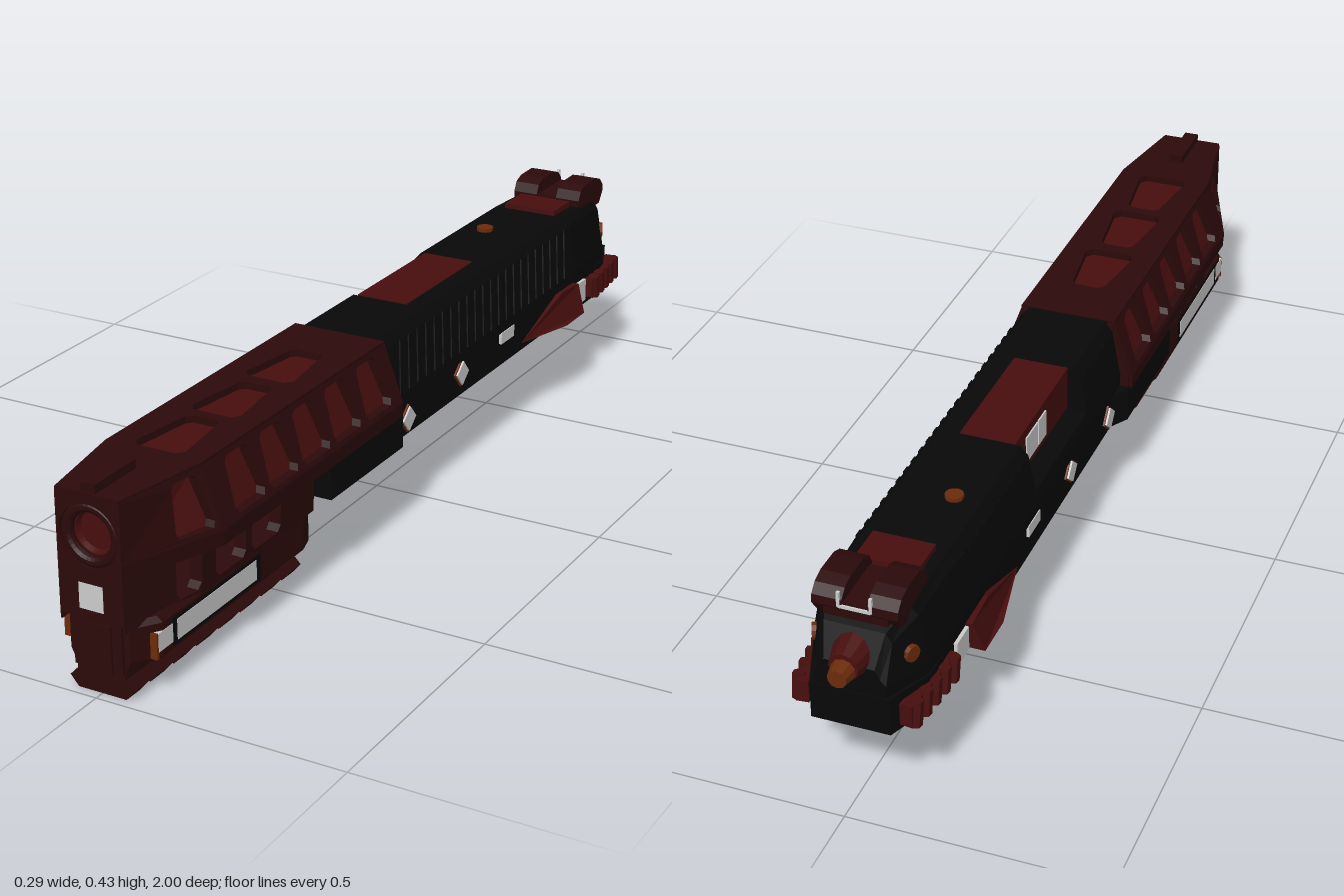
import * as THREE from 'three';

const RED = 0x2b0909, BRIGHT = 0x470e0e, BLACK = 0x080808, ORANGE = 0x6b2b0a, LIGHT = 0xcccccc;
const lerp = THREE.MathUtils.lerp;

export function createModel() {
  const root = new THREE.Group();
  root.name = 'pistolSlide';
  const mats = {};
  const mat = (c) => (mats[c] ??= new THREE.MeshStandardMaterial({ color: c, flatShading: true, side: THREE.DoubleSide }));

  function add(name, geo, color, pos = [0, 0, 0], rot = [0, 0, 0], parent = root) {
    const m = new THREE.Mesh(geo, mat(color));
    m.name = name;
    m.position.set(...pos);
    m.rotation.set(...rot);
    parent.add(m);
    return m;
  }
  const box = (name, size, pos, color, parent, rot) =>
    add(name, new THREE.BoxGeometry(...size), color, pos, rot, parent);

  // Loft of sections [z, half, otherHalf = half], front to back; halves are [x, y] from bottom to top
  function loft(name, color, sections) {
    const rings = sections.map(([z, half, other = half]) => [
      ...half.map(([x, y]) => [x, y, z]),
      ...other.slice().reverse().map(([x, y]) => [-x, y, z]),
    ]);
    const pos = [], n = rings[0].length;
    for (let r = 0; r < rings.length - 1; r++) {
      const a = rings[r], b = rings[r + 1];
      for (let i = 0; i < n; i++) {
        const j = (i + 1) % n;
        pos.push(...a[i], ...b[i], ...b[j], ...a[i], ...b[j], ...a[j]);
      }
    }
    for (const [ring, flip] of [[rings[0], false], [rings.at(-1), true]]) {
      const tris = THREE.ShapeUtils.triangulateShape(ring.map((p) => new THREE.Vector2(p[0], p[1])), []);
      for (const [p, q, s] of tris) pos.push(...ring[p], ...ring[flip ? s : q], ...ring[flip ? q : s]);
    }
    const g = new THREE.BufferGeometry();
    g.setAttribute('position', new THREE.Float32BufferAttribute(pos, 3));
    g.computeVertexNormals();
    return add(name, g, color);
  }

  // Extruded plate whose vertices are moved by a rule
  function plate(outline, holes, depth, rule) {
    const vec = (l) => l.map(([a, b]) => new THREE.Vector2(a, b));
    const s = new THREE.Shape(vec(outline));
    s.holes = holes.map((h) => new THREE.Path(vec(h)));
    const g = new THREE.ExtrudeGeometry(s, { depth, bevelEnabled: false });
    const p = g.attributes.position;
    for (let i = 0; i < p.count; i++) p.setXYZ(i, ...rule(p.getX(i), p.getY(i), p.getZ(i)));
    g.computeVertexNormals();
    return g;
  }

  // Side wall between heights lo and hi ([x, y]); outline in [z, 0..1]; narrows and thins toward the muzzle
  function wall(name, color, outline, holes, lo, hi, depth, parent) {
    const uv = (l) => l.map(([z, v]) => [-z, v]);
    const g = plate(uv(outline), holes.map(uv), depth, (u, v, w) => {
      const x = lerp(lo[0], hi[0], v), z = -u, t = Math.max(0, (z - 0.8) / 0.2);
      return [lerp(x, 0.066, t) + (w - depth) * lerp(1, 0.003 / depth, t), lerp(lo[1], hi[1], v), z];
    });
    return add(name, g, color, undefined, undefined, parent);
  }
  const span = (a, b) => [[a, 0], [b, 0], [b, 1], [a, 1]];
  const trapezoid = (z, w) => [[z - w, 0.18], [z - w * 0.85, 0.08], [z + w * 0.85, 0.08], [z + w, 0.18],
    [z + w * 0.75, 0.85], [z + w * 0.55, 0.92], [z - w * 0.55, 0.92], [z - w * 0.75, 0.85]];
  const slot = (a, b) => [[a, 0.2], [a + 0.01, 0.09], [b - 0.01, 0.09], [b, 0.2],
    [b, 0.82], [b - 0.01, 0.93], [a + 0.01, 0.93], [a, 0.82]];

  // Copy of a group's meshes on the other side, with the winding turned round
  function mirrored(group, name) {
    const out = new THREE.Group();
    out.name = name;
    const flip = new THREE.Matrix4().makeScale(-1, 1, 1);
    group.updateMatrixWorld(true);
    group.traverse((m) => {
      if (!m.isMesh) return;
      const g = m.geometry.index ? m.geometry.toNonIndexed() : m.geometry.clone();
      g.applyMatrix4(flip.clone().multiply(m.matrixWorld));
      const p = g.attributes.position, a = new THREE.Vector3(), b = new THREE.Vector3();
      for (let i = 0; i < p.count; i += 3) {
        a.fromBufferAttribute(p, i + 1);
        b.fromBufferAttribute(p, i + 2);
        p.setXYZ(i + 1, b.x, b.y, b.z);
        p.setXYZ(i + 2, a.x, a.y, a.z);
      }
      g.computeVertexNormals();
      const copy = new THREE.Mesh(g, m.material);
      copy.name = m.name;
      out.add(copy);
    });
    return out;
  }

  // ---- Slide, cut away on its right side for the ejection port ----
  const upper = (s, top) => [[0.116 * s, 0.245], [0.117 * s, 0.27], [0.098 * s, top - 0.018], [0.082 * s, top]];
  const full = upper(1, 0.388), cut = [[0.116, 0.245], [0.117, 0.27], [0.113, 0.295], [0.06, 0.3], [0.06, 0.388]];
  loft('slideFront', BLACK, [[0.15, full], [-0.05, full]]);
  loft('slidePort', BLACK, [[-0.05, full, cut], [-0.34, full, cut]]);
  loft('slideRear', BLACK, [[-0.34, full], [-0.7, full], [-0.86, upper(0.94, 0.383)],
    [-0.92, upper(0.7, 0.36)], [-0.95, upper(0.58, 0.3)]]);
  const lower = (x) => [[x, 0.17], [x, 0.245]];
  loft('slideLower', BLACK, [[0.42, lower(0.112)], [-0.86, lower(0.112)], [-0.955, lower(0.075)]]);
  loft('slideShoulder', BLACK, [[0.42, lower(0.136)], [0.14, lower(0.136)], [0.1, lower(0.112)]]);

  // Barrel hood in the port, with its light
  box('barrelHood', [0.112, 0.09, 0.29], [-0.016, 0.345, -0.195], BRIGHT);
  for (const [z, w] of [[-0.255, 0.06], [-0.2, 0.04]])
    box('portLight', [0.006, 0.055, w], [-0.072, 0.342, z], LIGHT);

  // ---- Compensator core, top skin and front plate ----
  const core = (a, b) => [[a, 0.245], [a, 0.27], [b, 0.376]];
  loft('compensatorCore', BRIGHT, [[0.95, core(0.064, 0.06)], [0.8, core(0.124, 0.083)], [0.16, core(0.124, 0.083)]]);
  const topPocket = (z) => [[-0.035, -z + 0.07], [-0.052, -z - 0.06], [-0.04, -z - 0.075],
    [0.04, -z - 0.075], [0.052, -z - 0.06], [0.035, -z + 0.07], [0.024, -z + 0.08], [-0.024, -z + 0.08]];
  add('compensatorTop', plate([[-0.1, -0.8], [0.1, -0.8], [0.1, -0.15], [-0.1, -0.15]],
    [0.35, 0.535, 0.715].map(topPocket), 0.015, (u, v, w) => [u, 0.375 + w, -v]), RED);
  const cap = (x) => [[x, 0.375], [x, 0.39]];
  loft('compensatorNose', RED, [[1, cap(0.065)], [0.8, cap(0.1)]]);
  loft('compensatorRear', RED, [[0.16, [[0.14, 0.24], [0.142, 0.27], [0.1, 0.385]]],
    [0.145, [[0.132, 0.245], [0.134, 0.27], [0.096, 0.383]]]]);

  const front = new THREE.Shape([[-0.065, 0.152], [0.065, 0.152], [0.065, 0.385], [-0.065, 0.385]]
    .map((p) => new THREE.Vector2(...p)));
  for (const [y, r] of [[0.31, 0.06], [0.189, 0.025]])
    front.holes.push(new THREE.Path().absarc(0, y, r, 0, Math.PI * 2, true));
  add('muzzlePlate', new THREE.ExtrudeGeometry(front, { depth: 0.05, bevelEnabled: false, curveSegments: 20 }),
    RED, [0, 0, 0.95]);

  // Barrel crown and guide rod
  add('muzzleRing', new THREE.TorusGeometry(0.051, 0.011, 10, 32), RED, [0, 0.31, 0.987]);
  const crown = [[0.06, 0.95], [0.05, 0.98], [0.04, 0.98], [0.036, 0.97], [0, 0.97]];
  add('barrelCrown', new THREE.LatheGeometry(crown.map(([r, h]) => new THREE.Vector2(r, h)), 32),
    BRIGHT, [0, 0.31, 0], [Math.PI / 2, 0, 0]);
  add('guideRod', new THREE.CylinderGeometry(0.019, 0.019, 0.58, 16), BLACK, [0, 0.19, 0.69], [Math.PI / 2, 0, 0]);
  box('guideRodLight', [0.05, 0.05, 0.025], [0, 0.195, 0.988], LIGHT);
  box('frontSight', [0.03, 0.022, 0.12], [0, 0.396, 0.935], RED);

  // ---- Under rail ----
  const base = (x) => [[0.05, 0.05], [x, 0.075], [x, 0.14], [x - 0.012, 0.15]];
  loft('railBase', RED, [[0.98, base(0.062)], [0.93, base(0.097)], [0.46, base(0.097)], [0.42, base(0.085)]]);
  box('railFrontTongue', [0.1, 0.095, 0.02], [0, 0.098, 0.977], RED);
  box('railFrontInset', [0.06, 0.09, 0.006], [0, 0.095, 0.988], RED);
  const rail = [[0.067, 0.02], [0.05, 0.038], [0.05, 0.055]], tooth = [[0.05, 0], [0.067, 0.02]];
  loft('rail', RED, [[0.98, rail], [0.42, rail]]);
  for (let i = 0; i < 8; i++) loft('railTooth', RED, [[0.98 - i * 0.074, tooth], [0.938 - i * 0.074, tooth]]);

  // ---- Parts on both sides, built on the left ----
  const side = new THREE.Group();
  side.name = 'leftSide';
  root.add(side);

  // Pocketed compensator walls
  const lo = [0.142, 0.27], hi = [0.1, 0.385], lip = [0.14, 0.24];
  wall('pocketWall', RED, span(0.15, 0.8), [0.235, 0.355, 0.47, 0.585, 0.7].map((z) => trapezoid(z, 0.049)), lo, hi, 0.02, side);
  wall('noseWall', RED, span(0.8, 1), [trapezoid(0.85, 0.04)], lo, hi, 0.02, side);
  wall('lip', RED, span(0.15, 0.8), [], lip, lo, 0.045, side);
  wall('noseLip', RED, span(0.8, 1), [], lip, lo, 0.045, side);
  wall('windowWall', RED, span(0.42, 0.8), [slot(0.54, 0.64), slot(0.66, 0.76)], [0.097, 0.14], [0.1, 0.25], 0.025, side);
  wall('noseWindowWall', RED, span(0.8, 1), [slot(0.805, 0.87)], [0.097, 0.14], [0.1, 0.25], 0.025, side);

  // Rail lamps
  box('lampFrame', [0.01, 0.055, 0.29], [0.0925, 0.107, 0.757], BLACK, side);
  box('lampStrip', [0.01, 0.04, 0.26], [0.0935, 0.107, 0.757], LIGHT, side);
  box('smallLamp', [0.014, 0.036, 0.044], [0.091, 0.107, 0.923], LIGHT, side);
  box('lampMount', [0.014, 0.05, 0.006], [0.09, 0.1, 0.947], ORANGE, side);

  // Slanted serrations of the slide; those over the port are on the left only
  for (let i = 0; i < 22; i++) {
    const z = 0.1 - i * 0.036, overPort = z > -0.36 && z - 0.03 < -0.05;
    wall('serration', BLACK, [[z, 0], [z + 0.018, 0], [z - 0.012, 1], [z - 0.03, 1]], [],
      [0.12, 0.27], [0.101, 0.37], 0.01, overPort && z < 0 ? root : side);
  }

  // Small side lights
  for (const [z, y] of [[0.08, 0.205], [-0.15, 0.22]]) {
    box('diamondLight', [0.014, 0.036, 0.036], [0.113, y, z], LIGHT, side, [0.7, 0, 0]);
    box('diamondMount', [0.01, 0.042, 0.042], [0.111, y, z], ORANGE, side, [0.7, 0, 0]);
  }
  box('barLight', [0.012, 0.025, 0.06], [0.112, 0.233, -0.36], LIGHT, side);
  box('squareLight', [0.022, 0.05, 0.055], [0.108, 0.208, -0.727], LIGHT, side);

  // Flared fin, widest along its lower edge
  add('sideFin', plate([[0.44, 0.185], [0.6, 0.178], [0.69, 0.178], [0.7, 0.24], [0.62, 0.245]], [], 1, (u, y, w) =>
    [0.1 + w * Math.min(1, 0.3 + (u - 0.44) * 4.5) * lerp(0.046, 0.024, (y - 0.178) / 0.067), y, -u]),
  BRIGHT, undefined, undefined, side);

  // Ribbed grip at the rear
  const grip = new THREE.Group();
  grip.name = 'rearGrip';
  grip.position.set(0.106, 0.207, -0.855);
  grip.rotation.y = 0.1;
  side.add(grip);
  box('gripPlate', [0.024, 0.045, 0.17], [0, 0, 0], BRIGHT, grip);
  for (let i = 0; i < 5; i++)
    add('gripRib', new THREE.CylinderGeometry(0.013, 0.013, 0.05, 6), BRIGHT, [0.011, 0, 0.068 - i * 0.034], [0.15, 0, 0], grip);
  add('sidePin', new THREE.CylinderGeometry(0.016, 0.018, 0.016, 10), ORANGE, [0.088, 0.305, -0.888], [0, 0.4, -Math.PI / 2], side);

  // Rear sight ear
  const ear = [[0.79, 0.365], [0.9, 0.365], [0.918, 0.39], [0.916, 0.406], [0.9, 0.422], [0.875, 0.43], [0.82, 0.429], [0.797, 0.42], [0.787, 0.4]];
  add('rearSightEar', plate(ear, [], 0.056, (u, y, w) => [0.024 + w, y, -u]), RED, undefined, undefined, side);
  box('sightMark', [0.006, 0.03, 0.006], [0.03, 0.408, -0.916], LIGHT, side);

  root.add(mirrored(side, 'rightSide'));

  // ---- Top and rear details ----
  box('rearSightBase', [0.12, 0.03, 0.12], [0, 0.385, -0.855], RED);
  box('sightMarkBase', [0.06, 0.006, 0.006], [0, 0.394, -0.916], LIGHT);
  box('sightPlate', [0.12, 0.022, 0.08], [0, 0.388, -0.74], BRIGHT);
  add('topPin', new THREE.CylinderGeometry(0.018, 0.018, 0.02, 10), ORANGE, [-0.03, 0.386, -0.54]);

  // Rear striker
  add('strikerHousing', new THREE.CylinderGeometry(0.028, 0.044, 0.055, 12), BRIGHT, [0, 0.31, -0.945], [-Math.PI / 2, 0, 0]);
  add('strikerTip', new THREE.CylinderGeometry(0.018, 0.024, 0.03, 10), ORANGE, [0, 0.305, -0.985], [-Math.PI / 2, 0, 0]);

  return root;
}
